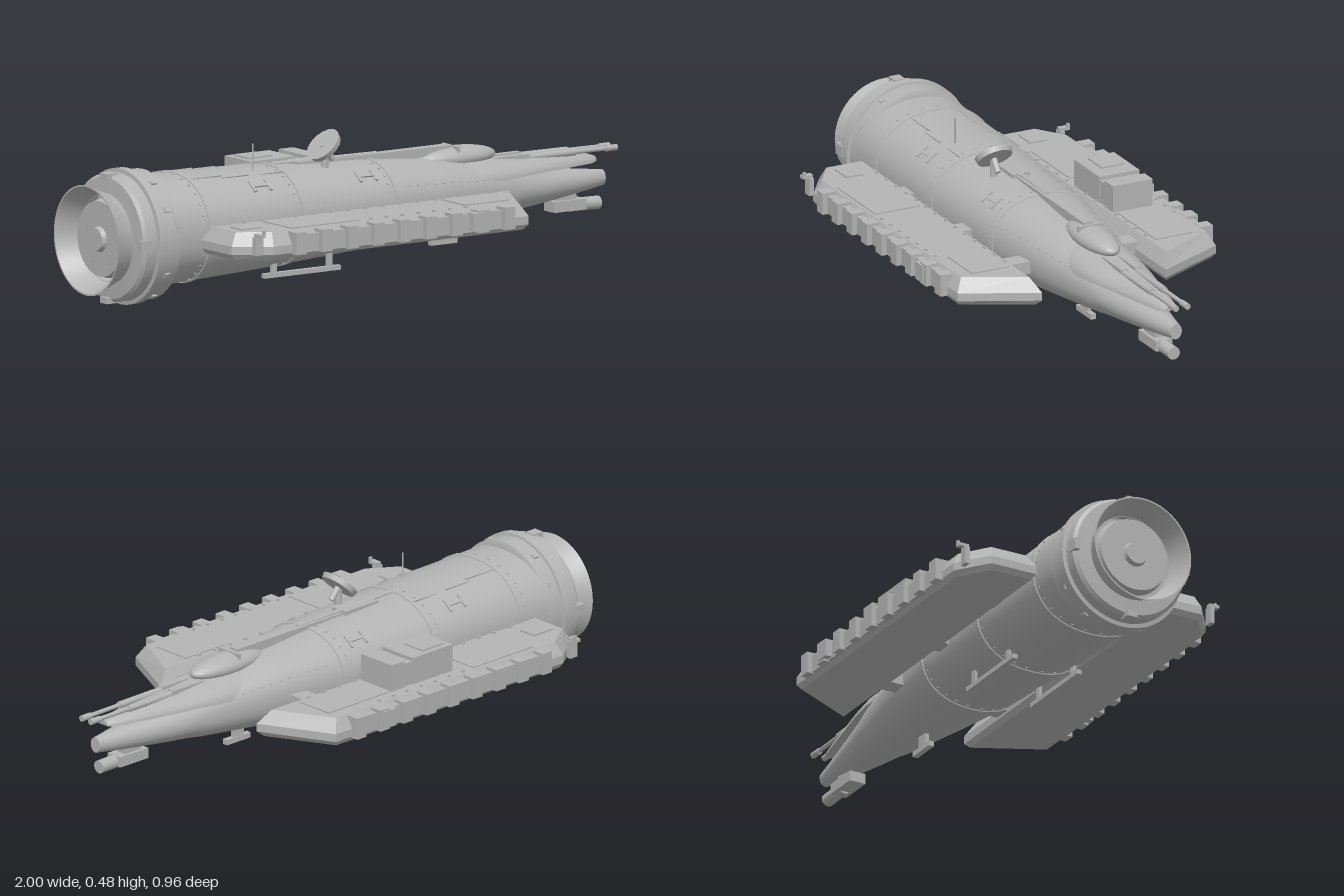
import * as THREE from 'three';
import { toCreasedNormals } from 'three/addons/utils/BufferGeometryUtils.js';

const hullGrey = new THREE.MeshStandardMaterial({ color: 0xb4b4b4, side: THREE.DoubleSide });
hullGrey.name = 'hullGrey';

// Hull stations: x, top y, bottom y, half width
const STATIONS = [
  [-0.8, 0.407, 0.06, 0.203], [-0.4, 0.398, 0.077, 0.199], [0.05, 0.378, 0.103, 0.178],
  [0.3, 0.355, 0.127, 0.147], [0.5, 0.325, 0.147, 0.112], [0.7, 0.285, 0.168, 0.074],
  [0.85, 0.265, 0.186, 0.043], [0.96, 0.252, 0.202, 0.02],
];

function station(x) {
  let i = 0;
  while (i < STATIONS.length - 2 && x > STATIONS[i + 1][0]) i++;
  const a = STATIONS[i], b = STATIONS[i + 1], t = (x - a[0]) / (b[0] - a[0]);
  return a.map((v, k) => v + (b[k] - v) * t);
}

// Point on the hull skin; angle 0 is +z, a quarter turn is up
function hullPoint(x, angle, lift = 0) {
  const [, top, bottom, w] = station(x);
  const p = x > 0.6 ? 1 : 0.9;
  const pw = (v) => Math.sign(v) * Math.abs(v) ** p;
  return new THREE.Vector3(x, (top + bottom) / 2 + pw(Math.sin(angle)) * ((top - bottom) / 2 + lift),
    pw(Math.cos(angle)) * (w + lift));
}

// Skin over a list of closed rings, with capped ends
function loft(rings, flat = false, caps = true) {
  const n = rings[0].length, pos = [], idx = [];
  rings.forEach((r) => r.forEach((p) => pos.push(p.x, p.y, p.z)));
  for (let i = 0; i < rings.length - 1; i++) for (let j = 0; j < n; j++) {
    const a = i * n + j, b = i * n + (j + 1) % n;
    idx.push(a, a + n, b, b, a + n, b + n);
  }
  if (caps) [0, rings.length - 1].forEach((i) => {
    const s = pos.length / 3;
    rings[i].forEach((p) => pos.push(p.x, p.y, p.z));
    for (let j = 1; j < n - 1; j++) idx.push(s, i ? s + j + 1 : s + j, i ? s + j : s + j + 1);
  });
  let g = new THREE.BufferGeometry();
  g.setAttribute('position', new THREE.Float32BufferAttribute(pos, 3));
  g.setIndex(idx);
  if (flat) g = g.toNonIndexed();
  g.computeVertexNormals();
  return g;
}

export function createModel() {
  const root = new THREE.Group();
  root.name = 'spaceship';

  const add = (name, geo, parent = root) => {
    const m = new THREE.Mesh(geo, hullGrey);
    m.name = name;
    parent.add(m);
    return m;
  };
  // Box given by its extents
  const box = (name, x0, x1, y0, y1, z0, z1, parent) => {
    const m = add(name, new THREE.BoxGeometry(x1 - x0, y1 - y0, Math.abs(z1 - z0)), parent);
    m.position.set((x0 + x1) / 2, (y0 + y1) / 2, (z0 + z1) / 2);
    return m;
  };
  // Rod between two points
  const rod = (name, a, b, r0, r1 = r0) => {
    const A = new THREE.Vector3(...a), d = new THREE.Vector3(...b).sub(A);
    const m = add(name, new THREE.CylinderGeometry(r1, r0, d.length(), 16));
    m.position.copy(A).addScaledVector(d, 0.5);
    m.quaternion.setFromUnitVectors(new THREE.Vector3(0, 1, 0), d.normalize());
    return m;
  };
  // Turned part along x, profile as [radius, x]
  const turned = (name, profile) => {
    const pts = profile.map(([r, x]) => new THREE.Vector2(r, x));
    const m = add(name, toCreasedNormals(new THREE.LatheGeometry(pts, 48), 0.5));
    m.rotation.z = -Math.PI / 2;
    m.position.y = 0.224;
    return m;
  };
  // Small plate lying on the hull skin
  const plate = (name, x, angle, lx, lt, h = 0.006) => {
    const p = hullPoint(x, angle), q = hullPoint(x, angle + 0.02);
    const m = add(name, new THREE.BoxGeometry(lx, h, lt));
    m.position.copy(p);
    m.rotation.x = Math.atan2(p.y - q.y, q.z - p.z) + Math.PI;
    return m;
  };
  const hullRing = (x, lift = 0) => Array.from({ length: 48 }, (_, j) => hullPoint(x, j / 48 * Math.PI * 2, lift));

  // Hull with raised seam bands
  const xs = Array.from({ length: 45 }, (_, i) => -0.8 + 1.76 * i / 44);
  add('hull', loft(xs.map((x) => hullRing(x))));
  [-0.67, -0.31, 0.06].forEach((x) => {
    add('seamBand', loft([hullRing(x - 0.008), hullRing(x - 0.007, 0.004), hullRing(x + 0.007, 0.004), hullRing(x + 0.008)], true, false));
    for (let i = 0; i < 28; i++) plate('rivet', x - 0.022, (i + 0.5) / 28 * Math.PI * 2, 0.006, 0.006);
  });
  // Raised fittings and panel strips on the upper hull
  [-1, 1].forEach((s) => {
    [-0.44, -0.03].forEach((x) => {
      const a = Math.PI / 2 + s * 0.75;
      plate('fittingBar', x, a, 0.06, 0.009, 0.009);
      [-0.03, 0.03].forEach((d) => plate('fittingEnd', x + d, a, 0.009, 0.045, 0.009));
    });
    plate('panelStrip', -0.5, Math.PI / 2 + s * 0.42, 0.1, 0.007);
    plate('panelStrip', -0.61, Math.PI / 2 + s * 0.36, 0.13, 0.007);
    plate('panelStrip', -0.36, Math.PI / 2 + s * 0.42, 0.1, 0.007);
    for (let i = 0; i < 12; i++) plate('rivet', 0.12 + i * 0.035, Math.PI / 2 + s * 1.1, 0.006, 0.006);
  });

  // Engine collar, bell and inner disc
  turned('engineCollar', [[0.135, -0.925], [0.19, -0.92], [0.2, -0.91], [0.2, -0.872], [0.213, -0.87],
    [0.213, -0.842], [0.204, -0.84], [0.204, -0.785], [0.19, -0.78], [0.16, -0.78]]);
  turned('engineBell', [[0.14, -0.9], [0.142, -0.925], [0.155, -0.96], [0.173, -1], [0.168, -1], [0.15, -0.96], [0.135, -0.92]]);
  turned('engineDisc', [[0, -0.965], [0.035, -0.965], [0.04, -0.95], [0.118, -0.95], [0.125, -0.92]]);
  for (let i = 0; i < 5; i++) {
    const vent = new THREE.Group();
    vent.position.set(-0.953, 0.224, 0);
    vent.rotation.x = i / 5 * Math.PI * 2;
    const v = add('engineVent', new THREE.CylinderGeometry(0.03, 0.016, 0.008, 4), vent);
    v.rotation.z = Math.PI / 2;
    v.position.y = 0.083;
    root.add(vent);
  }
  for (let i = 0; i < 12; i++) {
    const tab = new THREE.Group();
    tab.position.y = 0.224;
    tab.rotation.x = i / 12 * Math.PI * 2;
    const big = i % 3 === 0;
    const s = big ? 0.018 : 0.008;
    box('collarTab', big ? -0.935 : -0.83, big ? -0.895 : -0.81, 0.185, big ? 0.204 : 0.209, -s, s, tab);
    root.add(tab);
  }

  // Side pods
  const podLevels = [[0.185, 0.012], [0.202, 0], [0.228, 0], [0.27, 0.024]];
  [1, -1].forEach((s) => {
    const pod = new THREE.Group();
    pod.name = s > 0 ? 'leftPod' : 'rightPod';
    root.add(pod);
    const outline = (y, d) => [[-0.715 + d, 0.215 + d], [0.475 - d * 1.7, 0.215 + d], [0.36 - d, 0.45 - d],
      [-0.61 + d * 0.5, 0.45 - d], [-0.715 + d, 0.375 - d * 0.5]].map(([x, z]) => new THREE.Vector3(x, y, z * s));
    add('podBody', loft(podLevels.map(([y, d]) => (s > 0 ? outline(y, d) : outline(y, d).reverse())), true), pod);
    // Outer rail and brackets
    box('podRail', -0.54, 0.29, 0.2, 0.258, s * 0.435, s * 0.457, pod);
    for (let i = 0; i < 9; i++) {
      const x = -0.52 + i * 0.099;
      box('podBracket', x - 0.02, x + 0.02, 0.198, 0.268, s * 0.43, s * 0.474, pod);
    }
    box('podLatch', 0.13, 0.18, 0.205, 0.262, s * 0.44, s * 0.479, pod);
    // Deck panels and rivets
    box('deckPanel', -0.515, -0.26, 0.268, 0.274, s * 0.26, s * 0.415, pod);
    box('deckPanel', s > 0 ? 0.165 : 0.07, 0.33, 0.268, 0.274, s * 0.255, s * 0.385, pod);
    box('deckHatch', -0.66, -0.58, 0.268, 0.275, s * 0.29, s * 0.35, pod);
    for (let i = 0; i < 14; i++) box('rivet', -0.58 + i * 0.066, -0.572 + i * 0.066, 0.268, 0.276, s * 0.242, s * 0.25, pod);
    for (let i = 0; i < 7; i++) box('rivet', -0.22 + i * 0.06, -0.212 + i * 0.06, 0.268, 0.276, s * 0.412, s * 0.42, pod);
    // Small sensor at the rear corner
    box('sensorBase', -0.675, -0.645, 0.205, 0.262, s * 0.43, s * 0.445, pod);
    box('sensorHead', -0.67, -0.65, 0.262, 0.272, s * 0.43, s * 0.465, pod);
    box('sensorTip', -0.657, -0.647, 0.272, 0.284, s * 0.455, s * 0.463, pod);
    // Struts to the hull
    box('podStrut', 0.208, 0.27, 0.21, 0.25, s * 0.13, s * 0.24, pod);
    [-0.45, -0.09].forEach((x) => box('podStrut', x - 0.032, x + 0.032, 0.21, 0.25, s * 0.17, s * 0.24, pod));
  });
  // Equipment box on the right pod
  box('equipmentBox', -0.2, -0.03, 0.265, 0.357, -0.385, -0.246);
  box('equipmentLid', -0.18, -0.09, 0.355, 0.362, -0.365, -0.285);
  box('equipmentLink', -0.03, 0.025, 0.265, 0.345, -0.38, -0.25);
  box('equipmentEnd', 0.005, 0.06, 0.265, 0.357, -0.385, -0.246);

  // Upper nose lip with a flat underside
  const lipRing = ([x, w, base, top]) => Array.from({ length: 21 }, (_, j) => {
    const a = j / 20 * Math.PI;
    return new THREE.Vector3(x, base + Math.sin(a) * (top - base), Math.cos(a) * w);
  });
  add('noseLip', toCreasedNormals(loft([[0.4, 0.11, 0.27, 0.344], [0.52, 0.108, 0.276, 0.336], [0.62, 0.092, 0.279, 0.327],
    [0.78, 0.058, 0.28, 0.318], [0.9, 0.032, 0.281, 0.308], [0.925, 0.02, 0.285, 0.3]].map(lipRing)), 0.7));

  // Canopy and dorsal spine
  const canopy = add('canopy', new THREE.SphereGeometry(1, 28, 16));
  canopy.scale.set(0.15, 0.036, 0.055);
  canopy.position.set(0.4, 0.347, 0);
  box('canopyFrame', 0.38, 0.39, 0.35, 0.386, -0.045, 0.045);
  box('dorsalSpine', -0.1, 0.37, 0.36, 0.389, -0.017, 0.017);
  rod('spineRod', [-0.3, 0.394, 0], [0.1, 0.388, 0], 0.007);
  box('spineBase', -0.22, -0.08, 0.375, 0.396, -0.03, 0.03);

  // Twin top guns
  [-1, 1].forEach((s) => {
    box('gunHousing', 0.53, 0.66, 0.306, 0.335, s * 0.012, s * 0.036);
    rod('gunSleeve', [0.62, 0.322, s * 0.023], [0.84, 0.321, s * 0.021], 0.011);
    rod('gunBarrel', [0.8, 0.321, s * 0.021], [0.97, 0.32, s * 0.02], 0.007);
    rod('gunMuzzle', [0.96, 0.32, s * 0.02], [1, 0.32, s * 0.02], 0.01);
  });

  // Chin cannon
  box('chinMount', 0.76, 0.88, 0.138, 0.172, -0.028, 0.028);
  box('chinNeck', 0.78, 0.85, 0.165, 0.205, -0.018, 0.018);
  rod('chinBarrel', [0.84, 0.152, 0], [0.945, 0.15, 0], 0.021);

  // Tilted dish on its post
  rod('dishPost', [-0.14, 0.37, 0.065], [-0.14, 0.43, 0.065], 0.012);
  rod('dishArm', [-0.11, 0.4, 0.065], [-0.15, 0.45, 0.065], 0.01);
  const dish = rod('dish', [-0.135, 0.438, 0.063], [-0.147, 0.45, 0.063], 0.057, 0.061);
  dish.name = 'dish';

  // Whip antenna and belly rails
  rod('antenna', [-0.41, 0.38, 0.06], [-0.41, 0.478, 0.06], 0.0025);
  [-1, 1].forEach((s) => {
    box('bellyRail', -0.41, -0.12, 0.062, 0.077, s * 0.107, s * 0.123);
    [-0.37, -0.16].forEach((x) => box('railStrut', x - 0.01, x + 0.01, 0.07, 0.13, s * 0.11, s * 0.12));
  });
  box('bellySkid', 0.305, 0.405, 0.078, 0.095, -0.009, 0.009);
  box('skidStrut', 0.33, 0.375, 0.09, 0.14, -0.006, 0.006);

  return root;
}
